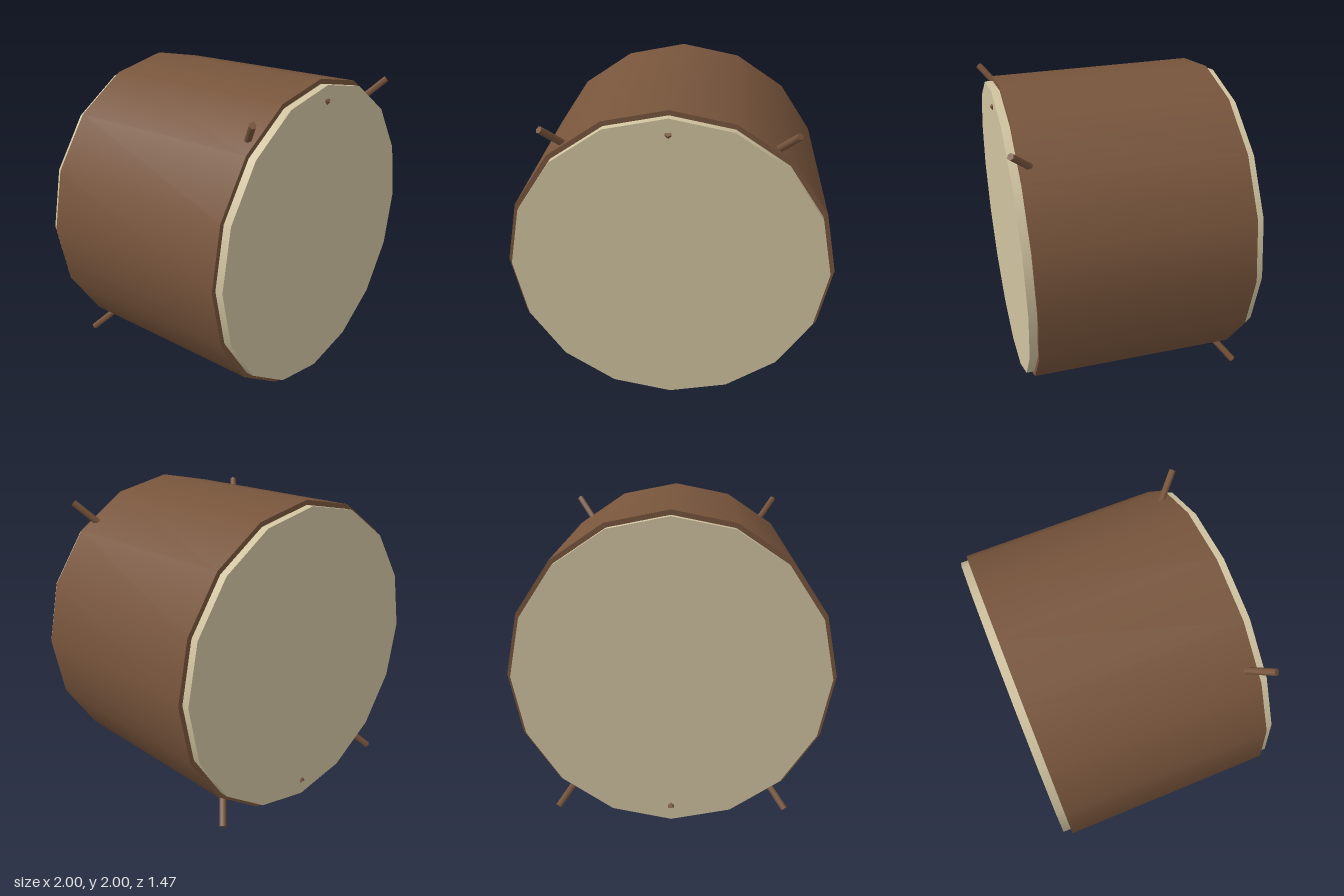
import * as THREE from 'three';

export function createModel() {
  const group = new THREE.Group();
  const wood = new THREE.MeshStandardMaterial({ color: 0x78553c });
  const skin = new THREE.MeshStandardMaterial({ color: 0xd0c3a0 });
  const centre = new THREE.Vector3(0, 1, 0);

  const add = (name, geometry, material, parent = group) => {
    const mesh = new THREE.Mesh(geometry, material);
    mesh.name = name;
    parent.add(mesh);
    return mesh;
  };

  // Sixteen-sided drum lying on its side, axis along z
  const drum = (radius, depth) =>
    new THREE.CylinderGeometry(radius, radius, depth, 16).rotateX(Math.PI / 2);
  add('shell', drum(1, 1.33), wood).position.copy(centre);

  // Skins standing slightly proud of both ends
  for (const side of [1, -1]) {
    add(side > 0 ? 'frontSkin' : 'backSkin', drum(0.97, 0.06), skin)
      .position.set(0, 1, side * 0.685);
  }

  // Slanted pegs: three at the upper front, three at the lower back
  const length = 0.4;
  const pegGeometry = new THREE.CylinderGeometry(0.022, 0.022, length, 6)
    .translate(0, -length / 2, 0);
  const up = new THREE.Vector3(0, 1, 0);
  for (const side of [1, -1]) {
    const pegs = new THREE.Group();
    pegs.name = side > 0 ? 'frontPegs' : 'backPegs';
    pegs.position.copy(centre);
    if (side < 0) pegs.rotation.x = Math.PI;
    for (const x of [-1, 0, 1]) {
      const peg = add('peg', pegGeometry, wood, pegs);
      peg.position.set(x * 0.72, 0.885, 0.716);
      peg.quaternion.setFromUnitVectors(up, new THREE.Vector3(x * 0.53, 0.64, 0.57).normalize());
    }
    group.add(pegs);
  }
  return group;
}
